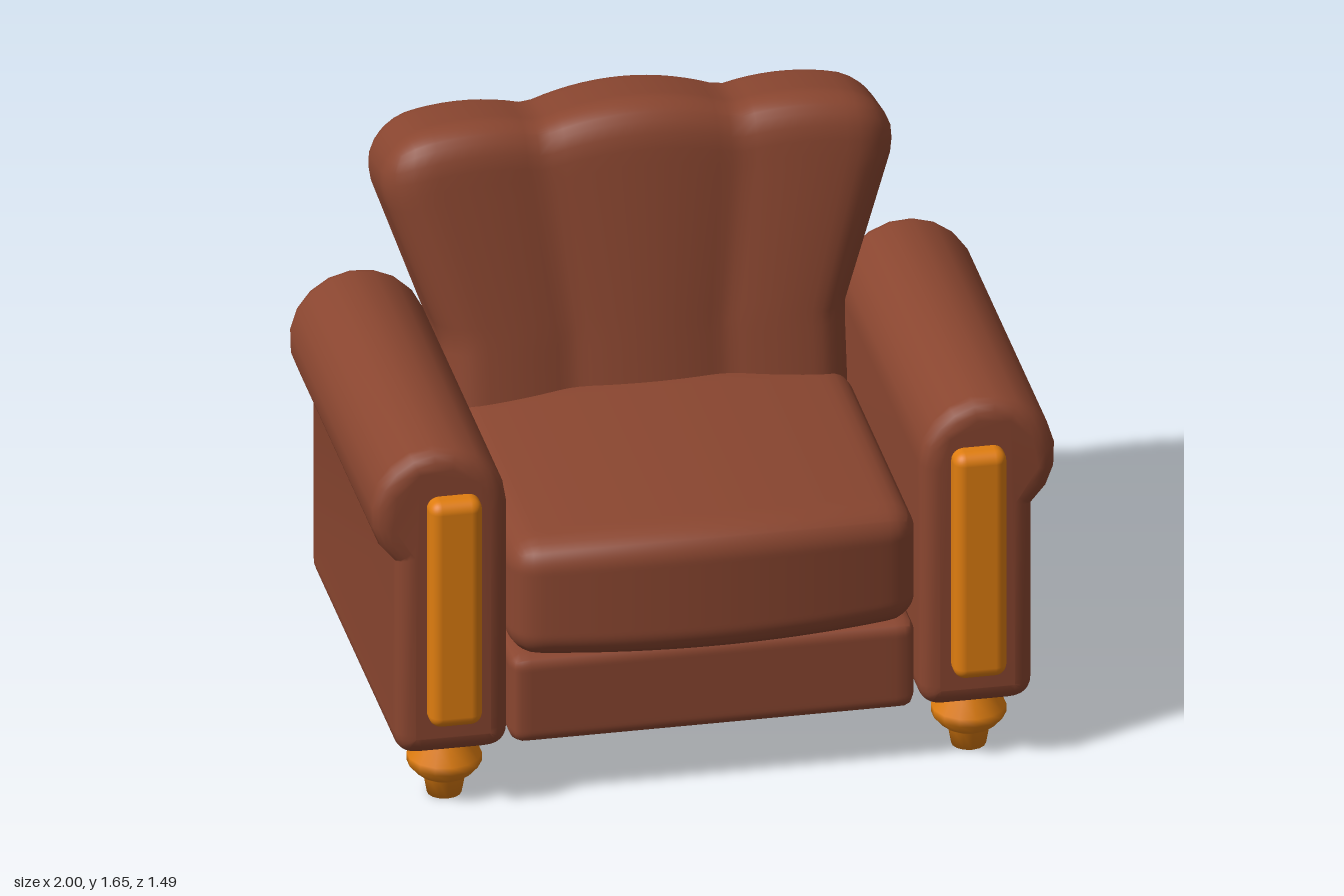
import * as THREE from 'three';
import { mergeVertices } from 'three/addons/utils/BufferGeometryUtils.js';
import { RoundedBoxGeometry } from 'three/addons/geometries/RoundedBoxGeometry.js';

// Weld a geometry so that its normals run smoothly over the edges
function smooth(geometry) {
  geometry.deleteAttribute('normal');
  geometry.deleteAttribute('uv');
  const welded = mergeVertices(geometry);
  welded.computeVertexNormals();
  return welded;
}

// Finely divided box with rounded edges, reshaped by rule(p); p is centred on the box
function softBox(w, h, d, r, rule) {
  const geometry = new THREE.BoxGeometry(w, h, d, 40, 36, 24);
  const pos = geometry.attributes.position;
  const limit = new THREE.Vector3(w / 2 - r, h / 2 - r, d / 2 - r);
  const low = limit.clone().negate();
  const p = new THREE.Vector3(), core = new THREE.Vector3();
  for (let i = 0; i < pos.count; i++) {
    p.fromBufferAttribute(pos, i);
    core.copy(p).clamp(low, limit);
    p.sub(core).setLength(r).add(core);
    if (rule) rule(p);
    pos.setXYZ(i, p.x, p.y, p.z);
  }
  return smooth(geometry);
}

// Rolled arm: rounded profile extruded from back to front
function armGeometry() {
  const shape = new THREE.Shape();
  shape.moveTo(0.67, 0.18);
  shape.lineTo(0.86, 0.18);
  shape.quadraticCurveTo(0.93, 0.18, 0.93, 0.25);
  shape.lineTo(0.93, 0.798);
  shape.absarc(0.8, 0.95, 0.2, -0.863, Math.PI, false);
  shape.lineTo(0.6, 0.25);
  shape.quadraticCurveTo(0.6, 0.18, 0.67, 0.18);
  const bevel = 0.055, length = 1.23;
  const geometry = new THREE.ExtrudeGeometry(shape, {
    depth: length - 2 * bevel, curveSegments: 6,
    bevelSize: bevel, bevelThickness: bevel, bevelOffset: -bevel, bevelSegments: 4,
  });
  geometry.translate(0, 0, bevel - length / 2);
  return smooth(geometry);
}

// Flared backrest with three padded lobes and a scalloped top
function backrestGeometry() {
  const half = 0.59, height = 1.475, depth = 0.36;
  return softBox(2 * half, height, depth, 0.1, (p) => {
    const s = Math.abs(p.x) / half;
    const up = p.y / height + 0.5;
    const front = p.z / depth + 0.5;
    const inner = s < 0.38;
    const t = inner ? s / 0.38 : (s - 0.69) / 0.31;
    const bump = 1 - t * t;
    const flare = THREE.MathUtils.clamp((up - 0.58) / 0.32, 0, 1);
    p.x *= 1 + 0.263 * flare;
    const crown = inner ? 0.055 * bump : 0.04 * bump - 0.05 * (s - 0.38);
    p.y += crown * Math.max(0, (up - 0.6) / 0.4);
    p.z += (inner ? 0.03 : 0.022) * bump * front;
  });
}

export function createModel() {
  const leather = new THREE.MeshStandardMaterial({ color: 0x8a4630 });
  leather.name = 'brown leather';
  const wood = new THREE.MeshStandardMaterial({ color: 0xdf7d10 });
  wood.name = 'orange wood';

  const chair = new THREE.Group();
  chair.name = 'armchair';
  const add = (name, geometry, material, x, y, z) => {
    const mesh = new THREE.Mesh(geometry, material);
    mesh.name = name;
    mesh.position.set(x, y, z);
    chair.add(mesh);
    return mesh;
  };

  // Seat base and crowned cushion with a bowed front
  add('seatBase', softBox(1.18, 0.28, 1.0, 0.04), leather, 0, 0.315, 0.14);
  const cushion = softBox(1.19, 0.35, 1.0, 0.08, (p) => {
    const s = p.x / 0.595;
    p.y += 0.045 * (1 - s * s) * (p.y / 0.35 + 0.5);
    p.z += 0.085 * (1 - s * s) * (p.z + 0.5);
  });
  add('seatCushion', cushion, leather, 0, 0.635, 0.16);

  // Backrest leaning ten degrees backwards
  const tilt = THREE.MathUtils.degToRad(10);
  const v = 0.9175, w = -0.29;
  const backrest = add('backrest', backrestGeometry(), leather, 0,
    v * Math.cos(tilt) + w * Math.sin(tilt), w * Math.cos(tilt) - v * Math.sin(tilt));
  backrest.rotation.x = -tilt;

  // Arms, wooden front panels and turned feet on both sides
  const arm = armGeometry();
  const panel = new RoundedBoxGeometry(0.155, 0.72, 0.12, 4, 0.035);
  const foot = new THREE.LatheGeometry([
    [0, 0], [0.05, 0], [0.06, 0.055], [0.08, 0.068], [0.108, 0.1],
    [0.108, 0.125], [0.078, 0.17], [0.075, 0.2], [0, 0.2],
  ].map(([r, y]) => new THREE.Vector2(r, y)), 14);
  for (const [side, sign] of [['left', 1], ['right', -1]]) {
    add(side + 'Arm', arm, leather, 0, 0, 0.045).rotation.y = sign > 0 ? 0 : Math.PI;
    add(side + 'ArmPanel', panel, wood, sign * 0.765, 0.65, 0.66);
    add(side + 'FrontFoot', foot, wood, sign * 0.765, 0, 0.53);
    add(side + 'BackFoot', foot, wood, sign * 0.765, 0, -0.4);
  }
  return chair;
}
